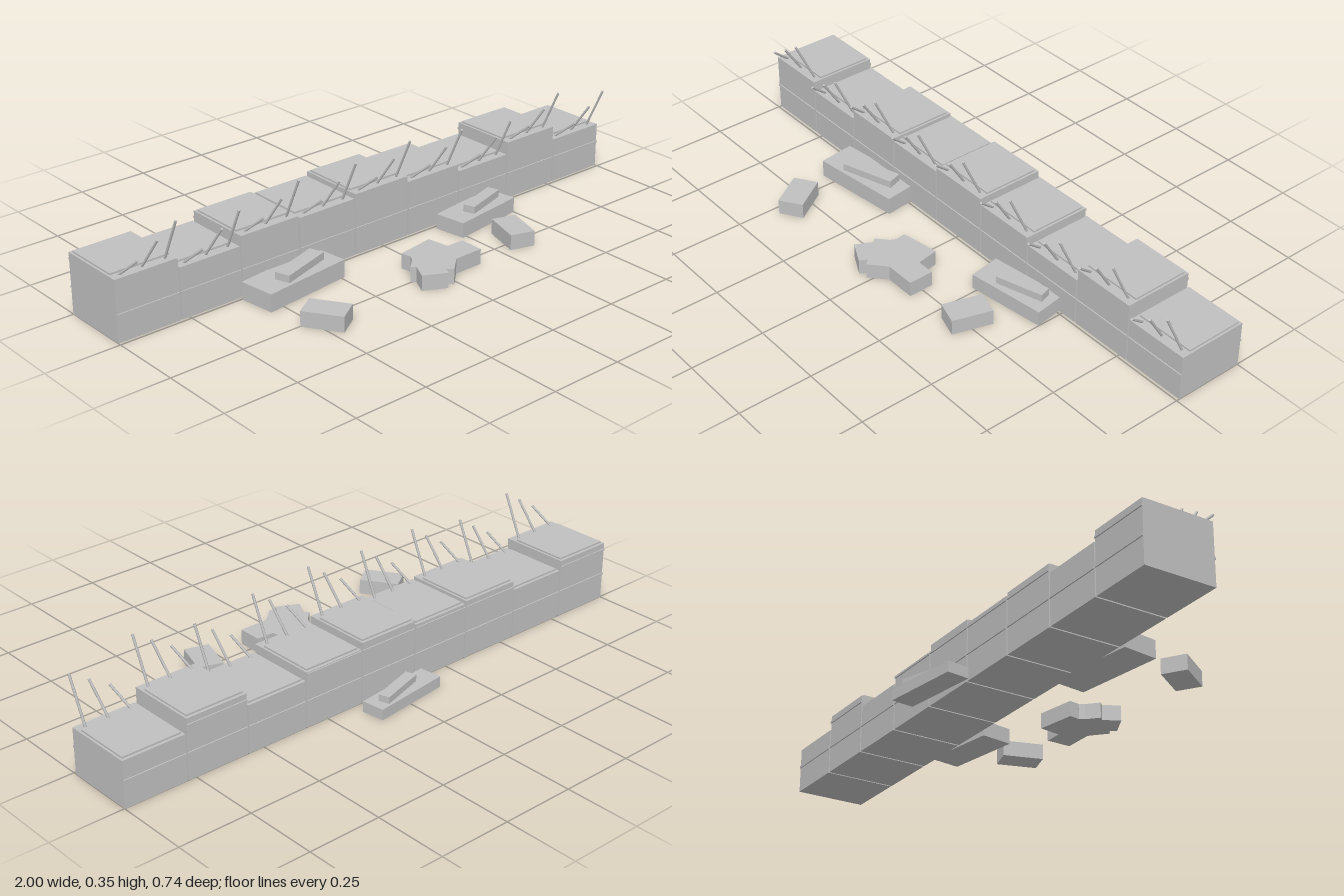
import * as THREE from 'three';

export function createModel() {
  const model = new THREE.Group();
  const concrete = new THREE.MeshStandardMaterial({ color: 0xc0c0c0 });
  concrete.name = 'concreteGrey';

  function box(parent, name, [w, h, d], [x, y, z], degrees = 0) {
    const mesh = new THREE.Mesh(new THREE.BoxGeometry(w, h, d), concrete);
    mesh.name = name;
    mesh.position.set(x, y + h / 2, z); // y is the underside
    mesh.rotation.y = THREE.MathUtils.degToRad(degrees);
    parent.add(mesh);
    return mesh;
  }

  // Straight bar between two points
  function bar(parent, name, from, to, radius) {
    const a = new THREE.Vector3(...from), b = new THREE.Vector3(...to);
    const dir = b.clone().sub(a);
    const mesh = new THREE.Mesh(new THREE.CylinderGeometry(radius, radius, dir.length(), 6), concrete);
    mesh.name = name;
    mesh.position.copy(a).add(b).multiplyScalar(0.5);
    mesh.quaternion.setFromUnitVectors(new THREE.Vector3(0, 1, 0), dir.normalize());
    parent.add(mesh);
  }

  // Broken wall: nine blocks of uneven height
  const heights = [0.21, 0.177, 0.209, 0.201, 0.215, 0.194, 0.168, 0.21, 0.162];
  const pitch = 2 / 9, width = 0.217;
  heights.forEach((top, i) => {
    const segment = new THREE.Group();
    segment.name = 'wallSegment';
    segment.position.x = (i - 4) * (2 - width) / 8;
    const h = top - 0.006;
    box(segment, 'wallBlock', [width, h, 0.242], [0, 0, -0.131]);
    box(segment, 'wallCap', [width - 0.014, 0.006, 0.198], [0, h, -0.143]);

    // Raised horizontal seams
    box(segment, 'frontSeam', [width, 0.007, 0.006], [0, 0.087, -0.009]);
    box(segment, 'backSeam', [width, 0.007, 0.006], [0, 0.087, -0.253]);
    if (h > 0.186) box(segment, 'upperBackSeam', [width, 0.007, 0.006], [0, 0.178, -0.253]);

    // Three bent reinforcing bars leaning out over the front
    [[0.024, 0.06], [0.013, 0.103], [-0.002, 0.144]].forEach(([lean, rise], j) => {
      const x = (j - 1) * 0.08;
      bar(segment, 'reinforcingBar', [x, h - 0.002, -0.034], [x + lean, h + rise, 0.036], 0.0042);
    });
    model.add(segment);
  });

  // Rubble piles: a slab with a smaller slab on top
  const rubble = new THREE.Group();
  rubble.name = 'rubble';
  const slabs = [
    [[0.317, 0.06, 0.125], [-0.402, 0, 0.045], 7],
    [[0.19, 0.025, 0.052], [-0.382, 0.06, 0.05], 18],
    [[0.27, 0.052, 0.11], [0.358, 0, 0.05], 8],
    [[0.165, 0.025, 0.042], [0.382, 0.052, 0.05], 17],
    [[0.278, 0.037, 0.078], [0, 0, -0.315], 7],
    [[0.168, 0.023, 0.038], [0.02, 0.037, -0.315], 17],
  ];
  slabs.forEach(([size, at, turn]) => box(rubble, 'rubbleSlab', size, at, turn));

  // Fallen blocks, all one size
  const blocks = [
    [-0.47, 0.285, 33], [0.345, 0.237, -17.5],
    [0.075, 0.255, 90], [0.008, 0.19, 99],
    [-0.03, 0.268, 42], [-0.053, 0.274, -27],
  ];
  blocks.forEach(([x, z, turn]) => box(rubble, 'fallenBlock', [0.085, 0.052, 0.135], [x, 0, z], turn));
  model.add(rubble);

  return model;
}
